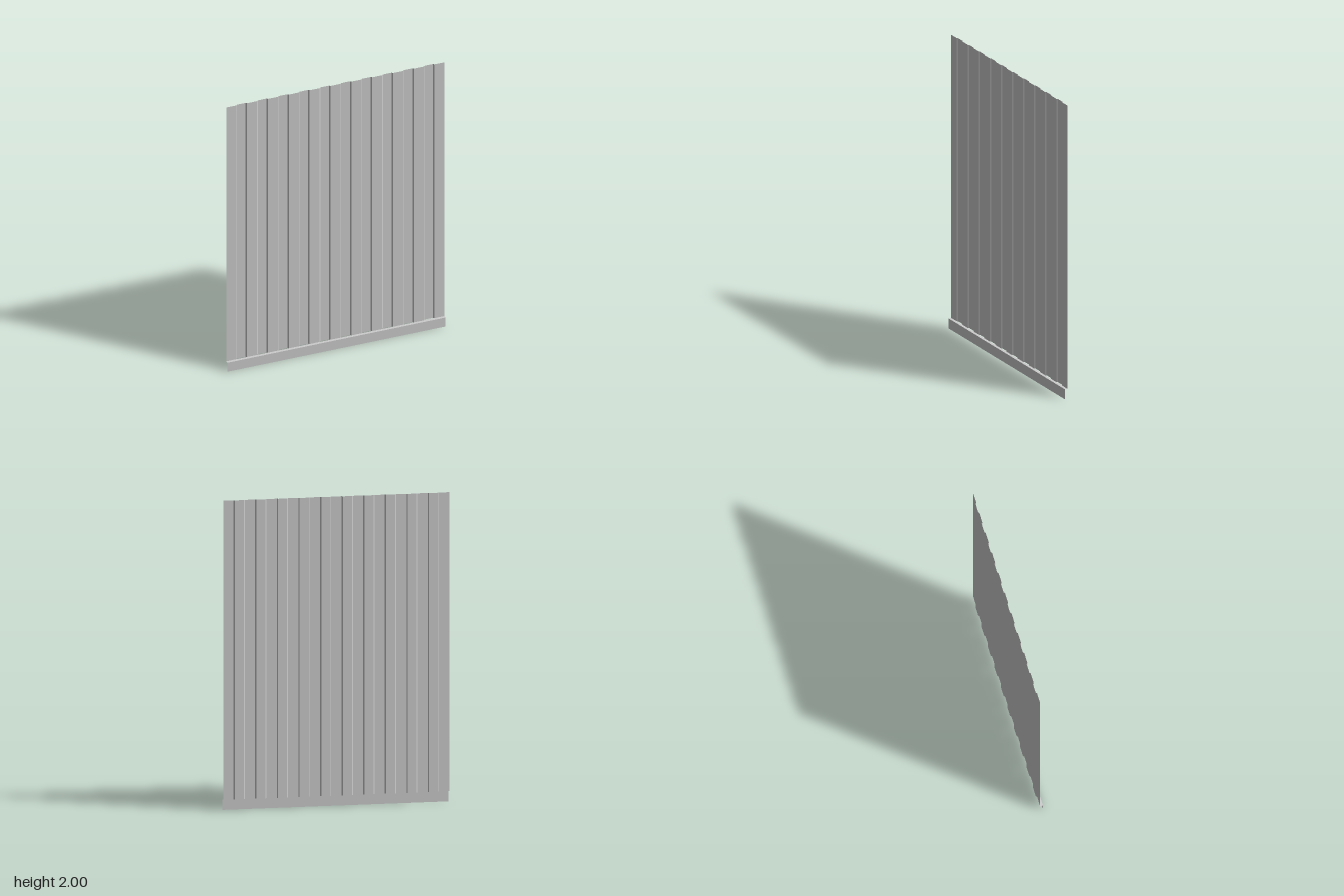
import * as THREE from 'three';

const HALF_WIDTH = 0.747, LEDGE_Y = 0.068, TOP_Y = 2;
const FRONT_Z = 0.013, PAN_Z = -0.006, RIB_Z = -0.013;

// Folded thin sheet: one flat strip per segment of a profile, swept along an offset vector
function foldedSheet(name, profile, sweep) {
  const positions = [];
  for (let i = 0; i < profile.length - 1; i++) {
    const a = profile[i], b = profile[i + 1];
    const c = b.clone().add(sweep), d = a.clone().add(sweep);
    for (const p of [a, b, c, a, c, d]) positions.push(p.x, p.y, p.z);
  }
  const geometry = new THREE.BufferGeometry();
  geometry.setAttribute('position', new THREE.Float32BufferAttribute(positions, 3));
  geometry.computeVertexNormals();
  const material = new THREE.MeshStandardMaterial({ color: 0xcccccc, side: THREE.DoubleSide });
  const mesh = new THREE.Mesh(geometry, material);
  mesh.name = name;
  return mesh;
}

export function createModel() {
  const group = new THREE.Group();
  group.name = 'corrugatedPanel';

  // Ribbed sheet: ten shallow trapezoid ribs raised towards the back
  const ribs = 10, pitch = 0.1425, baseHalf = 0.037, crestHalf = 0.03;
  const point = (x, z) => new THREE.Vector3(x, LEDGE_Y, z);
  const profile = [point(-HALF_WIDTH, PAN_Z)];
  for (let i = 0; i < ribs; i++) {
    const x = (i - (ribs - 1) / 2) * pitch;
    profile.push(
      point(x - baseHalf, PAN_Z), point(x - crestHalf, RIB_Z),
      point(x + crestHalf, RIB_Z), point(x + baseHalf, PAN_Z),
    );
  }
  profile.push(point(HALF_WIDTH, PAN_Z));
  group.add(foldedSheet('ribbedSheet', profile, new THREE.Vector3(0, TOP_Y - LEDGE_Y, 0)));

  // Bottom flashing: a narrow ledge folded down into a front skirt
  const fold = [[0, FRONT_Z], [LEDGE_Y, FRONT_Z], [LEDGE_Y, PAN_Z]]
    .map(([y, z]) => new THREE.Vector3(-HALF_WIDTH, y, z));
  group.add(foldedSheet('bottomFlashing', fold, new THREE.Vector3(2 * HALF_WIDTH, 0, 0)));

  return group;
}
